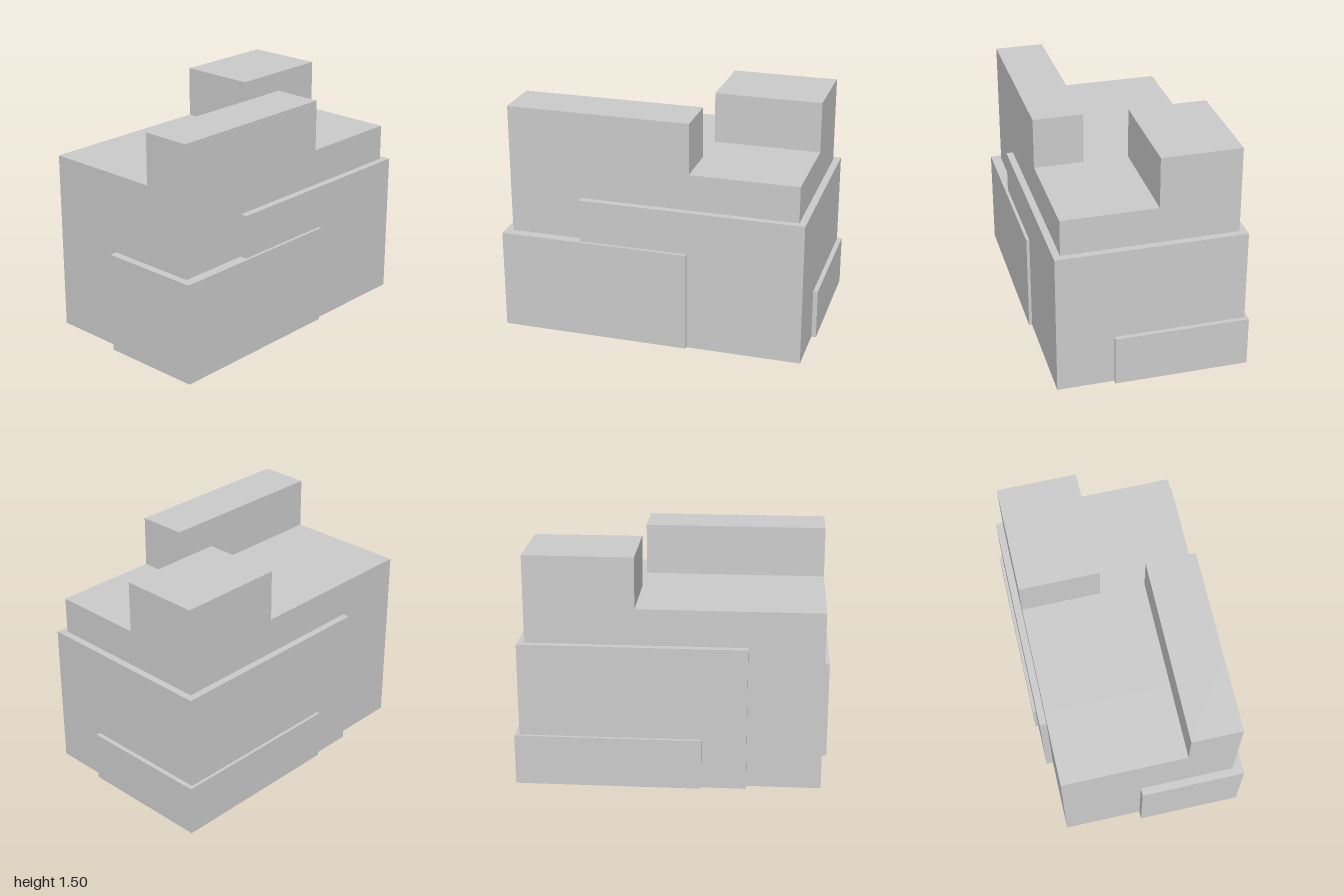
import * as THREE from 'three';

// Blocks standing on the ground: name, x range, z range, height
const blocks = [
  ['mainBody', -0.56, 0.56, -0.925, 0.95, 1.17],
  ['backRoofBlock', -0.56, -0.05, -0.925, -0.23, 1.5],
  ['frontRoofBlock', 0.24, 0.56, -0.23, 0.95, 1.5],
  ['middleBand', -0.605, 0.605, -0.97, 0.475, 0.935],
  ['frontSkirt', -0.05, 0.625, -0.23, 1, 0.655],
  ['backSkirt', -0.625, 0.24, -1, 0.19, 0.33],
].map(([name, x0, x1, z0, z1, h]) => ({ name, x0, x1, z0, z1, h, pos: [] }));

const cuts = (a, b) => [...new Set(blocks.flatMap(k => [k[a], k[b]]))].sort((p, q) => p - q);

// Tallest block over a point, or bare ground
const ground = { h: 0 };
const tallest = (x, z) => blocks.reduce((best, b) =>
  x > b.x0 && x < b.x1 && z > b.z0 && z < b.z1 && b.h > best.h ? b : best, ground);

// Corners run counter-clockwise seen from outside
const quad = (pos, a, b, c, d) => pos.push(...a, ...b, ...c, ...a, ...c, ...d);

export function createModel() {
  const group = new THREE.Group();
  const material = new THREE.MeshStandardMaterial({
    color: 0xcccccc, flatShading: true, side: THREE.DoubleSide,
  });
  blocks.forEach(b => { b.pos = []; });

  // Hollow outer shell of the joined blocks, open underneath
  const xs = cuts('x0', 'x1'), zs = cuts('z0', 'z1');
  const cell = (i, j) => (i < 0 || j < 0 || i >= xs.length - 1 || j >= zs.length - 1)
    ? ground : tallest((xs[i] + xs[i + 1]) / 2, (zs[j] + zs[j + 1]) / 2);

  for (let i = 0; i < xs.length - 1; i++) {
    for (let j = 0; j < zs.length - 1; j++) {
      const own = cell(i, j), h = own.h;
      if (h === 0) continue;
      const [x0, x1, z0, z1] = [xs[i], xs[i + 1], zs[j], zs[j + 1]];

      // Roof or ledge
      quad(own.pos, [x0, h, z1], [x1, h, z1], [x1, h, z0], [x0, h, z0]);

      // Walls down to any lower neighbour
      const wall = (low, ax, az, bx, bz) => {
        if (low < h) quad(own.pos, [ax, low, az], [bx, low, bz], [bx, h, bz], [ax, h, az]);
      };
      wall(cell(i, j + 1).h, x0, z1, x1, z1);
      wall(cell(i, j - 1).h, x1, z0, x0, z0);
      wall(cell(i + 1, j).h, x1, z1, x1, z0);
      wall(cell(i - 1, j).h, x0, z0, x0, z1);
    }
  }

  for (const { name, pos } of blocks) {
    const geometry = new THREE.BufferGeometry();
    geometry.setAttribute('position', new THREE.Float32BufferAttribute(pos, 3));
    geometry.computeVertexNormals();
    const mesh = new THREE.Mesh(geometry, material);
    mesh.name = name;
    group.add(mesh);
  }
  return group;
}
